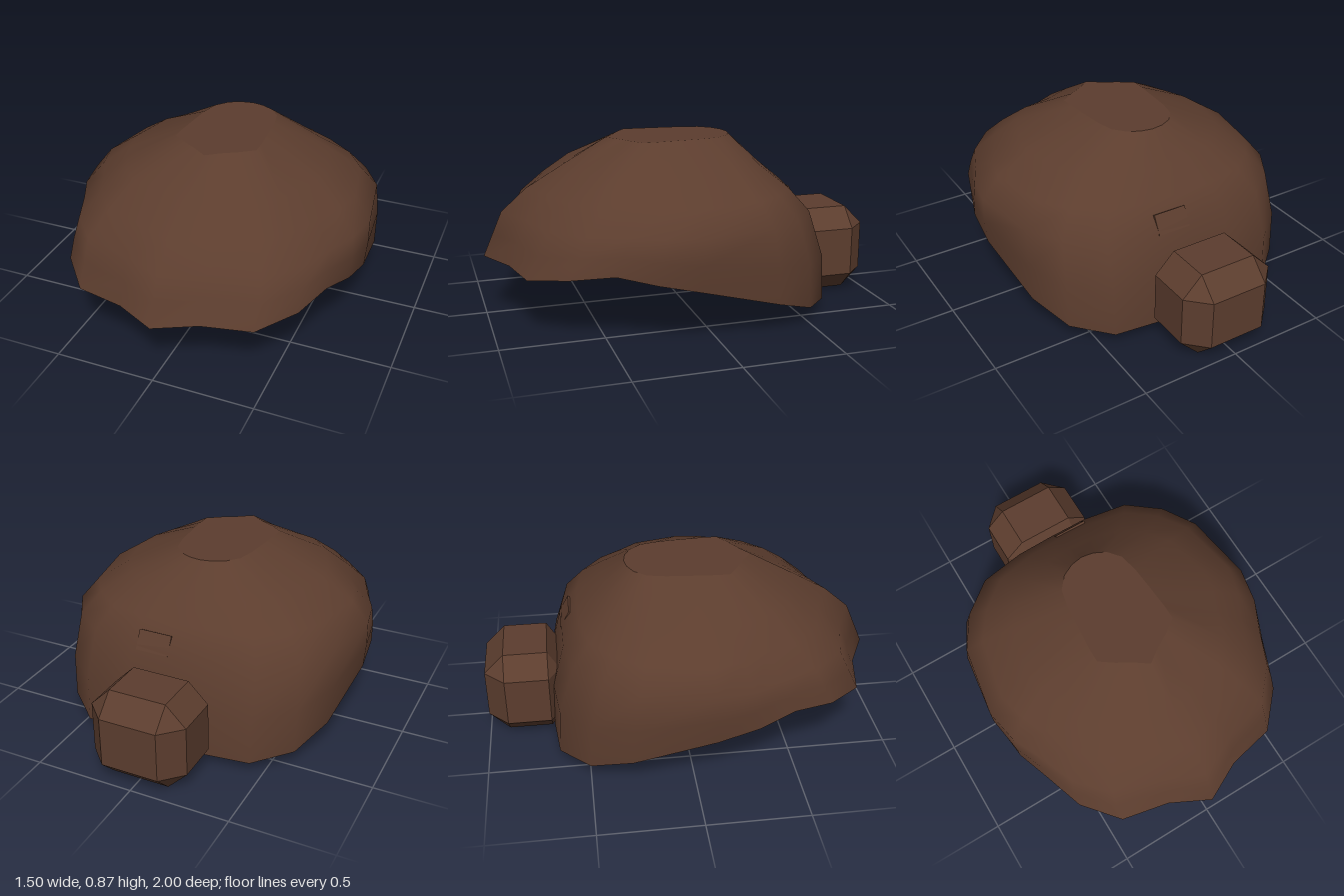
import * as THREE from 'three';
import { ConvexGeometry } from 'three/addons/geometries/ConvexGeometry.js';

// Half outlines running from the front centre round the left side to the back
const RIM = [
  [0, 0.3, 1], [0.2, 0.3, 0.9], [0.44, 0.3, 0.85], [0.59, 0.33, 0.68],
  [0.66, 0.35, 0.48], [0.72, 0.31, 0.3], [0.74, 0.265, 0.1], [0.7, 0.15, -0.3],
  [0.61, 0.08, -0.5], [0.44, 0.055, -0.645], [0.2, 0.05, -0.668], [0, 0.05, -0.662],
];
const CROWN = [
  [0, 0.37], [0.07, 0.32], [0.14, 0.28], [0.21, 0.23], [0.21, 0.16], [0.205, 0.1],
  [0.2, 0.03], [0.19, -0.08], [0.17, -0.17], [0.12, -0.23], [0.06, -0.26], [0, -0.27],
].map(([x, z]) => [x, 0.865, z]);

// Complete a half outline with its mirror image
const mirror = (half) => [...half, ...half.slice(1, -1).reverse().map(([x, y, z]) => [-x, y, z])];

function surface(points, index) {
  const g = new THREE.BufferGeometry();
  g.setAttribute('position', new THREE.Float32BufferAttribute(points.flat(), 3));
  g.setIndex(index);
  g.computeVertexNormals();
  return g;
}

export function createModel() {
  const group = new THREE.Group();
  const brown = new THREE.MeshStandardMaterial({ color: 0x5c3d2e, side: THREE.DoubleSide });
  brown.name = 'brown';
  const add = (name, geometry) => {
    const mesh = new THREE.Mesh(geometry, brown);
    mesh.name = name;
    group.add(mesh);
    return mesh;
  };

  // Open shell: rings rise from the wavy rim to the flat crown, pulled in on the diagonals
  const rim = mirror(RIM);
  const crown = mirror(CROWN);
  const n = rim.length;
  const ring = (sx, sz, y, frontPinch, backPinch) => rim.map(([x, , z]) => {
    const k = 1 - (z > 0 ? frontPinch : backPinch) * Math.sin(2 * Math.atan2(x, z)) ** 2;
    return [x * sx * k, y, z * sz * k];
  });
  const widest = ring(1.02, 0.905, 0.52, 0.045, 0.05);
  const lower = rim.map(([x, y, z], i) => {
    const [wx, wy, wz] = widest[i];
    const t = z > 0 ? 0.5 : 0.15;
    return [(x + (wx - x) * t) * 1.008, (y + wy) / 2, z + (wz - z) * t];
  });
  const rings = [
    rim, lower, widest,
    ring(0.905, 0.78, 0.63, 0.07, 0.075),
    ring(0.69, 0.6, 0.735, 0.01, 0.11),
    crown,
  ];
  const index = [];
  for (let r = 0; r < rings.length - 1; r++) {
    for (let c = 0; c < n; c++) {
      const a = r * n + c;
      const b = r * n + (c + 1) % n;
      index.push(a, b, b + n, a, b + n, a + n);
    }
  }
  add('hairShell', surface(rings.flat(), index));

  // Flat crown
  const fan = crown.flatMap((_, c) => [n, c, (c + 1) % n]);
  add('crown', surface([...crown, [0, 0.865, 0]], fan));

  // Small flat lock above the bun, nearly flush with the shell
  const lock = add('looseLock', new THREE.BoxGeometry(0.17, 0.1, 0.02));
  lock.position.set(0.09, 0.54, -0.573);
  lock.rotation.x = 0.5;

  // Bun: a box with all edges and corners cut off
  const outer = { x: [-0.245, 0.245], y: [0, 0.45], z: [-1, -0.62] };
  const inner = { x: [-0.145, 0.145], y: [0.1, 0.35], z: [-0.9, -0.68] };
  const corners = [];
  for (const axis of ['x', 'y', 'z']) {
    for (let i = 0; i < 8; i++) {
      const pick = (k, bit) => (k === axis ? outer : inner)[k][(i >> bit) & 1];
      corners.push(new THREE.Vector3(pick('x', 0), pick('y', 1), pick('z', 2)));
    }
  }
  add('bun', new ConvexGeometry(corners));

  return group;
}
